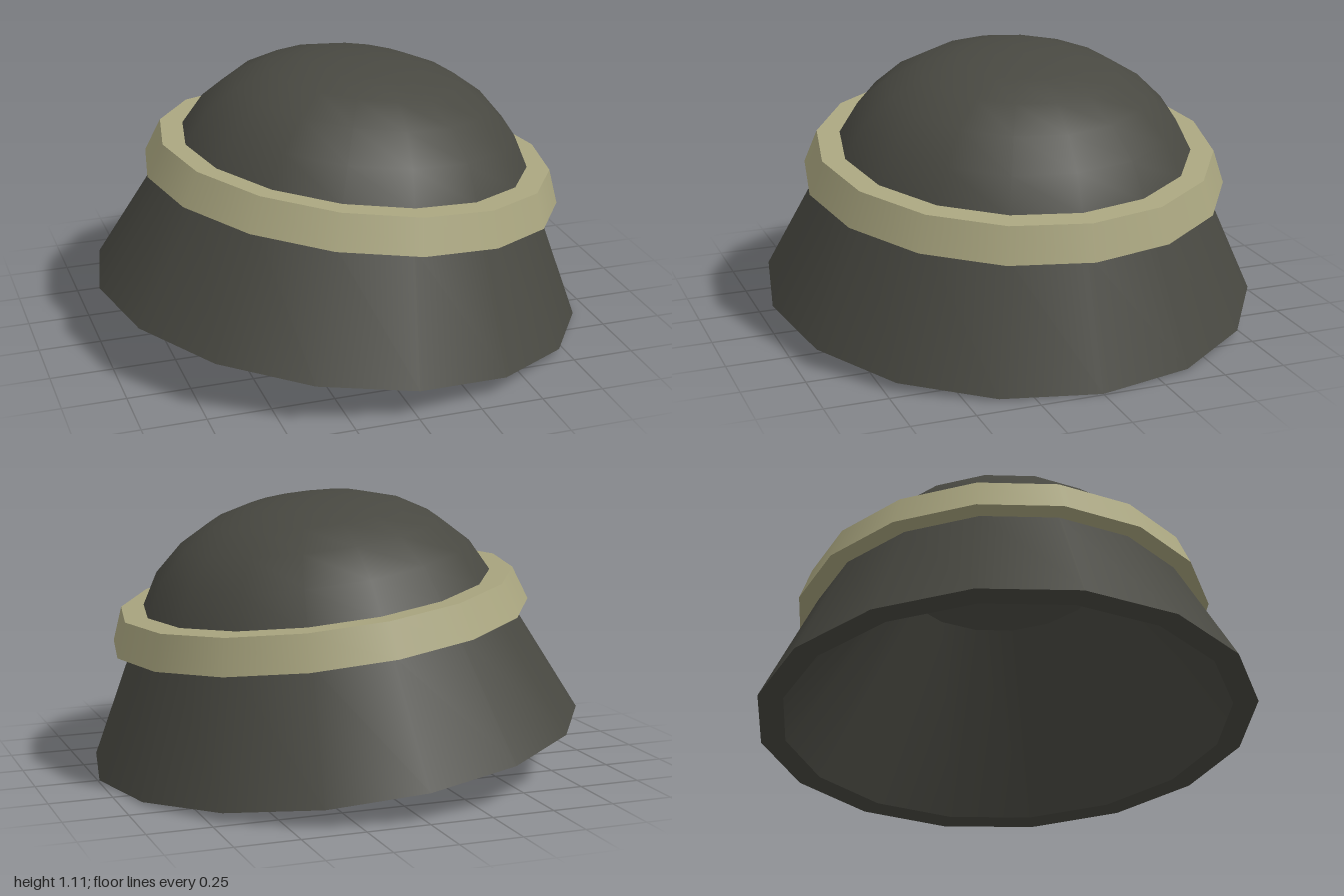
import * as THREE from 'three';

const SIDES = 16;
const TILT = THREE.MathUtils.degToRad(6.8);

export function createModel() {
  const felt = new THREE.MeshStandardMaterial({ color: 0x484841 });
  felt.name = 'dark felt';
  const ribbon = new THREE.MeshStandardMaterial({ color: 0xa9a57f });
  ribbon.name = 'khaki ribbon';

  const hat = new THREE.Group();
  hat.name = 'hat';

  // Each smooth strip of the profile is its own lathe, so the edges between strips stay sharp.
  const turn = (name, material, profile, shift = 0) => {
    const points = profile.map(([r, y]) => new THREE.Vector2(r, y));
    const mesh = new THREE.Mesh(new THREE.LatheGeometry(points, SIDES), material);
    mesh.name = name;
    mesh.position.x = shift;
    hat.add(mesh);
  };

  // The crown and band sit slightly off the centre of the brim
  const lean = 0.009;

  // Outer shell: flared brim running straight up into the domed crown
  turn('brim', felt, [[1, 0], [0.772, 0.47], [0.705, 0.61]]);
  turn('crown', felt, [
    [0.71, 0.605], [0.637, 0.738], [0.522, 0.847], [0.393, 0.922],
    [0.245, 0.968], [0.1, 0.985], [0, 0.987],
  ], lean);

  // Tapering hollow inside with a shallow end, and the flat rim that joins it to the brim
  turn('hollowEnd', felt, [[0, 0.87], [0.2, 0.84], [0.42, 0.68]]);
  turn('hollowWall', felt, [[0.42, 0.68], [0.9, 0]]);
  turn('rim', felt, [[0.9, 0], [1, 0]]);

  // Ribbon band standing proud of the crown, its underside sloping in and down
  turn('bandUnderside', ribbon, [[0.755, 0.465], [0.85, 0.474]], lean);
  turn('bandSide', ribbon, [[0.85, 0.474], [0.8, 0.61]], lean);
  turn('bandTop', ribbon, [[0.8, 0.61], [0.69, 0.61]], lean);

  // Tip the hat toward its left, with the low edge on the ground
  hat.rotation.z = -TILT;
  hat.position.y = Math.sin(TILT);

  const model = new THREE.Group();
  model.name = 'tiltedHat';
  model.add(hat);
  return model;
}
